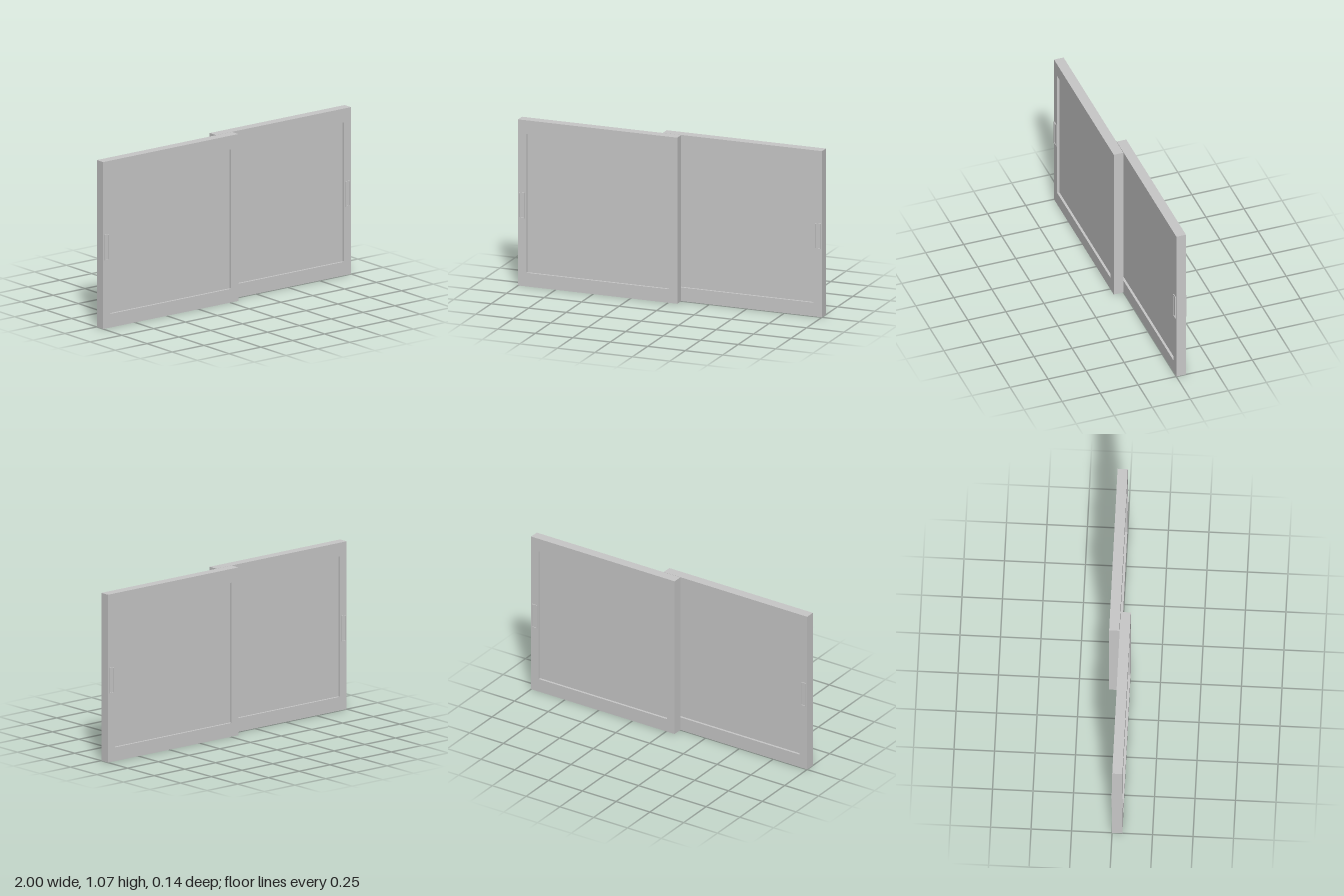
import * as THREE from 'three';

const WIDTH = 1.062, HEIGHT = 1.067, DEPTH = 0.063;
const GAP = 0.001;                       // clearance between each sash and the centre plane
const STILE = 0.056, RAIL = 0.0875;      // frame widths at the sides and at top and bottom
const RECESS = 0.015;                    // glass set back from the frame faces
const PULL = { x0: 0.008, x1: 0.046, y0: 0.437, y1: 0.6, rim: 0.005, lip: 0.005 };

// Rectangular outline, usable as a shape or a hole
function rect(x0, y0, x1, y1, Type = THREE.Shape) {
  const r = new Type();
  r.moveTo(x0, y0);
  r.lineTo(x1, y0);
  r.lineTo(x1, y1);
  r.lineTo(x0, y1);
  r.closePath();
  return r;
}

// Extrudes a shape between two z positions
function slab(name, shape, z0, z1, material) {
  const geometry = new THREE.ExtrudeGeometry(shape, { depth: z1 - z0, bevelEnabled: false });
  geometry.translate(0, 0, z0);
  const mesh = new THREE.Mesh(geometry, material);
  mesh.name = name;
  return mesh;
}

// One sliding sash with its outer edge at x = -1
function buildSash(name, material) {
  const sash = new THREE.Group();
  sash.name = name;
  const left = -1, right = left + WIDTH;
  const back = GAP, front = GAP + DEPTH;
  const opening = [left + STILE, RAIL, right - STILE, HEIGHT - RAIL];

  // Frame around the glass panel
  const frame = rect(left, 0, right, HEIGHT);
  frame.holes.push(rect(...opening, THREE.Path));
  sash.add(slab('frame', frame, back, front, material));
  sash.add(slab('glassPanel', rect(...opening), back + RECESS, front - RECESS, material));

  // Finger pulls: a thin raised rim on each face
  const { x0, x1, y0, y1, rim: t, lip } = PULL;
  const rim = rect(left + x0, y0, left + x1, y1);
  rim.holes.push(rect(left + x0 + t, y0 + t, left + x1 - t, y1 - t, THREE.Path));
  sash.add(slab('frontPull', rim, front, front + lip, material));
  sash.add(slab('backPull', rim, back - lip, back, material));
  return sash;
}

export function createModel() {
  const model = new THREE.Group();
  model.name = 'slidingWindow';
  const grey = new THREE.MeshStandardMaterial({ color: 0xc8c8c8 });
  grey.name = 'lightGrey';

  // The rear sash is the front one turned half way round
  const rear = buildSash('rearSash', grey);
  rear.rotation.y = Math.PI;
  model.add(buildSash('frontSash', grey), rear);
  return model;
}
